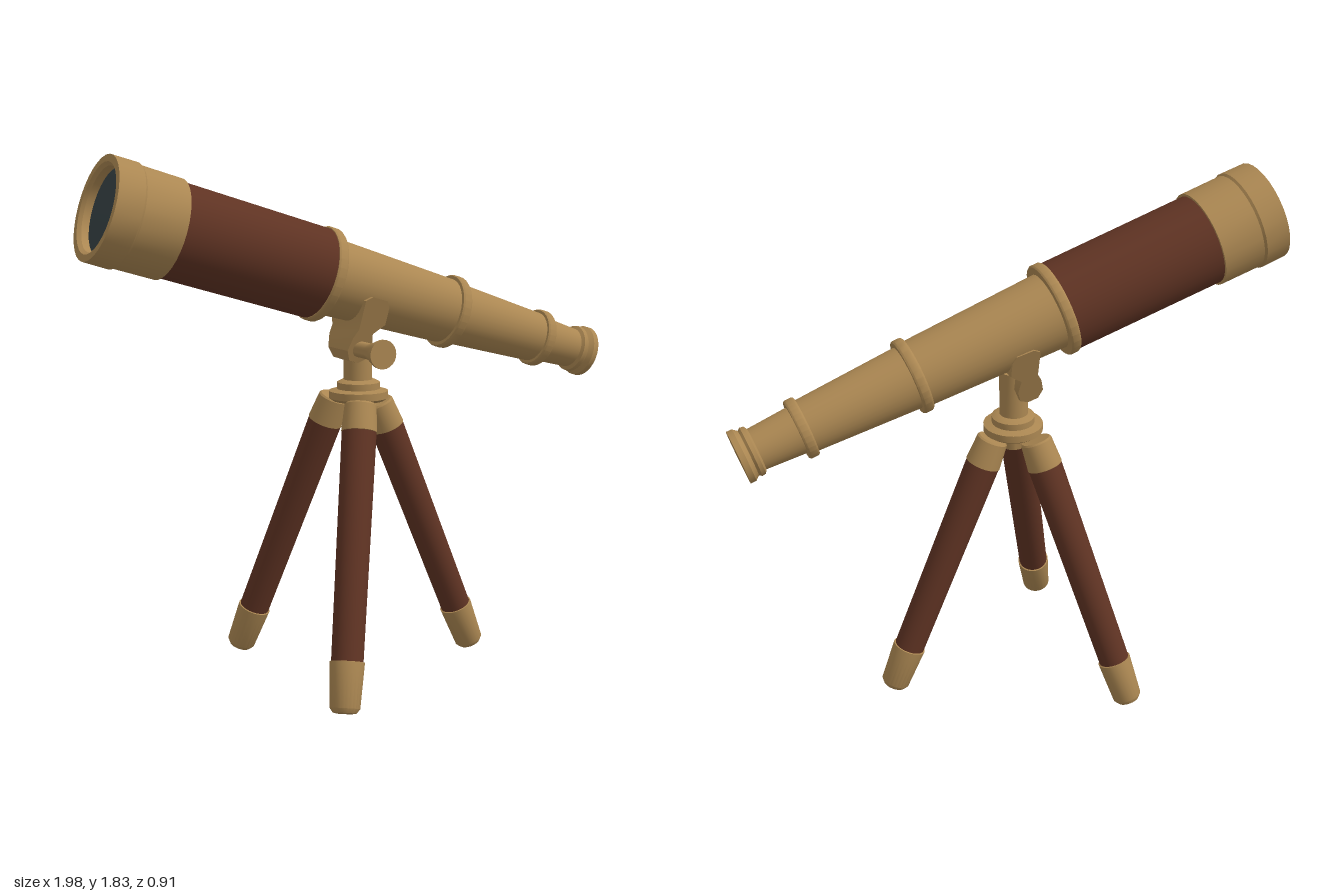
import * as THREE from 'three';
import { toCreasedNormals } from 'three/addons/utils/BufferGeometryUtils.js';

const brass = new THREE.MeshStandardMaterial({ color: 0xab8752 });
brass.name = 'brass';
const leather = new THREE.MeshStandardMaterial({ color: 0x5f3323 });
leather.name = 'dark red wood';
const glass = new THREE.MeshStandardMaterial({ color: 0x364144 });
glass.name = 'lens glass';

const UP = new THREE.Vector3(0, 1, 0);

function part(parent, name, geometry, material) {
  const mesh = new THREE.Mesh(toCreasedNormals(geometry, 0.6), material);
  mesh.name = name;
  parent.add(mesh);
  return mesh;
}

// Turned part: profile is a list of [radius, height along the axis]
function turned(parent, name, profile, material, segments = 32) {
  const points = profile.map(([r, y]) => new THREE.Vector2(r, y));
  return part(parent, name, new THREE.LatheGeometry(points, segments), material);
}

// Group whose local +y runs from one point to another
function axisGroup(parent, name, from, to) {
  const group = new THREE.Group();
  group.name = name;
  group.position.copy(from);
  group.quaternion.setFromUnitVectors(UP, to.clone().sub(from).normalize());
  parent.add(group);
  return group;
}

function buildTube(model) {
  const from = new THREE.Vector3(-0.94, 1.665, -0.022);
  const to = new THREE.Vector3(0.965, 1.09, 0);
  const tube = axisGroup(model, 'telescopeTube', from, to);
  const end = from.distanceTo(to);

  turned(tube, 'objectiveCap', [
    [0.142, 0.06], [0.142, 0.012], [0.152, 0], [0.176, 0], [0.177, 0.09],
    [0.171, 0.098], [0.17, 0.25], [0.158, 0.25],
  ], brass);
  turned(tube, 'objectiveLens', [[0, 0.026], [0.08, 0.029], [0.145, 0.038]], glass);
  turned(tube, 'mainBarrel', [[0.161, 0.24], [0.158, 0.82]], leather);

  // Drawn sections, each with a collar at its front end
  turned(tube, 'firstDraw', [[0.135, 0.82], [0.116, 1.35]], brass);
  turned(tube, 'secondDraw', [[0.112, 1.35], [0.09, 1.77]], brass);
  const collars = [[0.825, 0.165, 0.12], [1.36, 0.132, 0.1], [1.765, 0.105, 0.07]];
  for (const [s, r, inner] of collars) {
    turned(tube, 'collar', [
      [inner, s - 0.018], [r - 0.004, s - 0.018], [r, s - 0.012],
      [r, s + 0.012], [r - 0.004, s + 0.018], [inner, s + 0.018],
    ], brass);
  }
  turned(tube, 'eyepiece', [
    [0.083, 1.77], [0.073, 1.925], [0.085, 1.932], [0.087, 1.946],
    [0.08, 1.955], [0.093, end - 0.02], [0.093, end], [0, end],
  ], brass);
}

function buildMount(model) {
  const mount = new THREE.Group();
  mount.name = 'mount';
  model.add(mount);

  // Saddle: a shaped lug that widens upward to grip the tube
  const outline = [
    [-0.045, 1.34], [-0.02, 1.352], [0.04, 1.335], [0.052, 1.31], [0.048, 1.25],
    [0.005, 1.22], [0.01, 1.17], [-0.005, 1.13], [-0.035, 1.118], [-0.07, 1.13],
    [-0.083, 1.165], [-0.07, 1.21], [-0.052, 1.24],
  ].map(([x, y]) => new THREE.Vector2(x, y));
  const saddle = new THREE.ExtrudeGeometry(new THREE.Shape(outline), { depth: 2, bevelEnabled: false });
  saddle.translate(0, 0, -1);
  const p = saddle.attributes.position;
  for (let i = 0; i < p.count; i++) {
    const half = THREE.MathUtils.mapLinear(p.getY(i), 1.12, 1.35, 0.055, 0.136);
    p.setZ(i, p.getZ(i) * half - 0.008);
  }
  saddle.computeVertexNormals();
  part(mount, 'saddle', saddle, brass);

  const post = part(mount, 'post', new THREE.CylinderGeometry(0.05, 0.05, 0.18, 24), brass);
  post.position.set(-0.008, 1.13, 0);

  // Clamp knob on the front side
  const knob = turned(mount, 'clampKnob', [
    [0, 0], [0.028, 0], [0.028, 0.09], [0.034, 0.12], [0.05, 0.17], [0.05, 0.18], [0, 0.18],
  ], brass, 24);
  knob.position.set(-0.035, 1.168, 0.045);
  knob.rotation.x = Math.PI / 2;

  // Stepped head of the tripod
  const head = turned(mount, 'tripodHead', [
    [0, 0.93], [0.045, 0.93], [0.05, 0.97], [0.09, 0.98], [0.104, 0.99], [0.104, 1.015],
    [0.075, 1.022], [0.075, 1.045], [0.055, 1.055], [0, 1.055],
  ], brass);
  head.position.x = -0.006;
}

function buildLeg(model, top, foot) {
  const leg = axisGroup(model, 'tripodLeg', top, foot);
  const length = top.distanceTo(foot);
  turned(leg, 'legSocket', [
    [0, 0], [0.05, 0], [0.055, 0.006], [0.062, 0.1], [0.055, 0.104],
  ], brass, 24);
  turned(leg, 'legShaft', [[0.06, 0.09], [0.054, length - 0.16]], leather, 24);
  turned(leg, 'footCap', [
    [0.05, length - 0.172], [0.059, length - 0.17], [0.051, length - 0.018],
    [0.04, length - 0.003], [0.025, length], [0, length],
  ], brass, 24);
}

export function createModel() {
  const model = new THREE.Group();
  model.name = 'telescopeOnTripod';
  buildTube(model);
  buildMount(model);
  buildLeg(model, new THREE.Vector3(0.07, 0.97, 0), new THREE.Vector3(0.472, 0.02, 0));
  for (const side of [1, -1]) {
    buildLeg(model, new THREE.Vector3(-0.05, 0.985, side * 0.095),
      new THREE.Vector3(-0.287, 0.012, side * 0.412));
  }
  return model;
}
